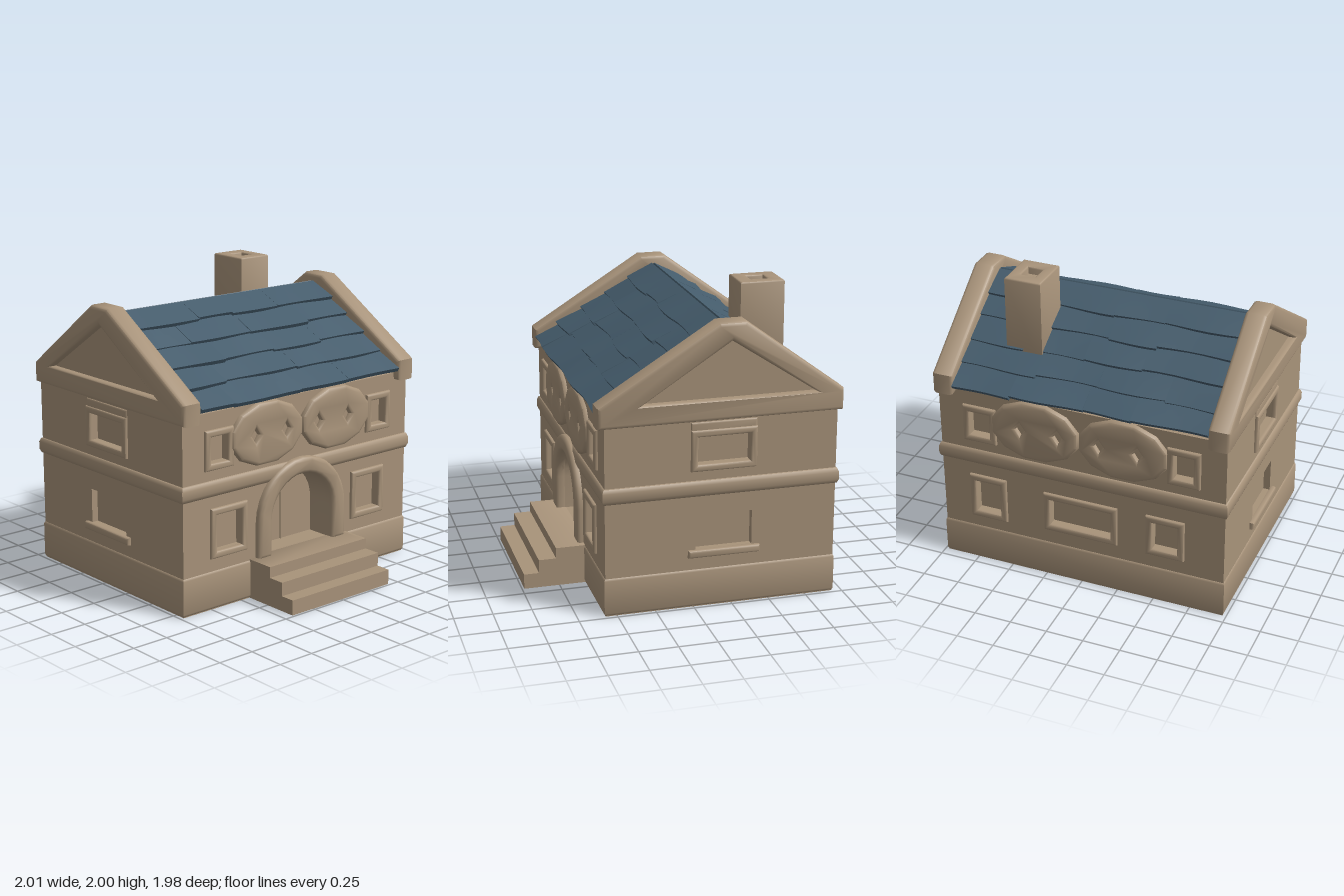
import * as THREE from 'three';
import { toCreasedNormals } from 'three/addons/utils/BufferGeometryUtils.js';

const stone = new THREE.MeshStandardMaterial({ color: 0xa8937a, side: THREE.DoubleSide });
stone.name = 'tan stone';
const slate = new THREE.MeshStandardMaterial({ color: 0x455c6c });
slate.name = 'blue slate';

const MID_Z = -0.18, HALF_X = 0.975, FRONT = 0.575, BACK = -0.935;
const RIDGE_Z = -0.235;

let seed = 7;
const rand = () => (seed = (seed * 16807) % 2147483647) / 2147483647;

function add(parent, name, geo, mat, x = 0, y = 0, z = 0) {
  const mesh = new THREE.Mesh(geo, mat);
  mesh.name = name;
  mesh.position.set(x, y, z);
  parent.add(mesh);
  return mesh;
}

// extrusion of the given total depth, its bevel kept inside the outline
function solid(shape, depth, bevel = 0) {
  const geo = new THREE.ExtrudeGeometry(shape, {
    depth: depth - 2 * bevel, curveSegments: 8, steps: 1, bevelEnabled: bevel > 0,
    bevelThickness: bevel, bevelSize: bevel, bevelOffset: -bevel, bevelSegments: 2,
  });
  geo.translate(0, 0, bevel);
  return toCreasedNormals(geo, 0.8);
}

const poly = (pts) => new THREE.Shape(pts.map(([x, y]) => new THREE.Vector2(x, y)));
const rect = (x, y, w, h) => poly([
  [x - w / 2, y - h / 2], [x + w / 2, y - h / 2], [x + w / 2, y + h / 2], [x - w / 2, y + h / 2]]);
function cut(shape, ...holes) {
  shape.holes.push(...holes);
  return shape;
}
function arch(r, bottom, spring = 0.49) {
  const s = new THREE.Shape();
  s.moveTo(-r, bottom).lineTo(r, bottom);
  s.absarc(0, spring, r, 0, Math.PI, false);
  return s;
}
// arch surround, open at the foot
function horseshoe(r, R, bottom, spring = 0.49) {
  const s = new THREE.Shape();
  s.moveTo(r, bottom).lineTo(R, bottom);
  s.absarc(0, spring, R, 0, Math.PI, false);
  s.lineTo(-R, bottom).lineTo(-r, bottom);
  s.absarc(0, spring, r, Math.PI, 0, true);
  return s;
}

// wall facing local +z, with recessed framed windows [x, y, w, h, sill?]
function makeWall(name, width, height, windows, extraHoles = []) {
  const wall = new THREE.Group();
  wall.name = name;
  const holes = windows.map(([x, y, w, h]) => rect(x, y, w, h));
  add(wall, 'wallFace', solid(cut(rect(0, height / 2, width, height), ...holes, ...extraHoles), 0.05), stone, 0, 0, -0.05);
  for (const [x, y, w, h, sill] of windows) {
    add(wall, 'windowPane', new THREE.BoxGeometry(w + 0.02, h + 0.02, 0.01), stone, x, y, -0.05);
    if (sill) {
      add(wall, 'windowSill', solid(rect(x, y - h / 2 - 0.025, w + 0.1, 0.05), 0.05, 0.014), stone, 0, 0, -0.02);
    } else {
      add(wall, 'windowFrame', solid(cut(rect(x, y, w + 0.09, h + 0.09), rect(x, y, w, h)), 0.045, 0.014), stone, 0, 0, -0.022);
    }
  }
  return wall;
}

// pair of round panels with small diamond dents
function addRosettes(wall) {
  for (const s of [-1, 1]) {
    const oval = new THREE.Shape();
    for (let i = 0; i < 12; i++) {
      const a = (i + 0.5) / 12 * Math.PI * 2;
      oval[i ? 'lineTo' : 'moveTo'](Math.cos(a) * 0.308, Math.sin(a) * 0.212);
    }
    const diamond = (x) => poly([[x - 0.03, 0], [x, -0.045], [x + 0.03, 0], [x, 0.045]]);
    cut(oval, diamond(-s * 0.16), diamond(s * 0.1));
    add(wall, 'roundPanel', solid(oval, 0.07, 0.025), stone, s * 0.3, 1.085, -0.036);
  }
}

// horizontal moulding running round the house
function addBand(house, name, y0, y1, out, bevel) {
  const w = HALF_X * 2, d = FRONT - BACK;
  const ring = cut(rect(0, 0, w + out * 2, d + out * 2), rect(0, 0, w - 0.12, d - 0.12));
  const geo = solid(ring, y1 - y0, bevel).rotateX(-Math.PI / 2);
  add(house, name, geo, stone, 0, y0, MID_Z);
}

// one roof side: overlapping courses of uneven shingles, downhill along local +z
function makeRoofSide(name, run, drop) {
  const side = new THREE.Group();
  side.name = name;
  const courses = 5, len = Math.hypot(run, drop) / courses, half = 0.855;
  for (let c = 0; c < courses; c++) {
    const phase = rand() * 6;
    const cuts = [-half, -half + 0.25 + rand() * 0.3, -0.1 + rand() * 0.2, 0.3 + rand() * 0.25, half];
    for (let k = 0; k < cuts.length - 1; k++) {
      const w = cuts[k + 1] - cuts[k], slip = (rand() - 0.5) * 0.025, lift = rand() * 0.014;
      const geo = new THREE.BoxGeometry(w, 0.03, len + 0.04, 5, 1, 2);
      const p = geo.attributes.position;
      for (let i = 0; i < p.count; i++) {
        const x = p.getX(i) + (cuts[k] + cuts[k + 1]) / 2;
        const t = p.getZ(i) / (len + 0.04) + 0.5;
        const wave = Math.sin(x * 9 + phase);
        p.setXYZ(i, x, p.getY(i) + t * (0.018 + lift) + t * wave * 0.006,
          c * len + t * (len + 0.01) - (1 - t) * (c ? 0.03 : 0) + t * (slip + wave * 0.008));
      }
      geo.computeVertexNormals();
      add(side, 'shingle', geo, slate);
    }
  }
  side.rotation.order = 'YXZ';
  side.rotation.x = Math.atan2(drop, run);
  side.position.set(0, 1.797, RIDGE_Z);
  return side;
}

export function createModel() {
  const house = new THREE.Group();
  house.name = 'house';

  // walls
  const upper = [[-0.69, 1.05, 0.14, 0.17], [0.7, 1.05, 0.13, 0.17]];
  const front = makeWall('frontWall', HALF_X * 2, 1.29,
    [...upper, [-0.61, 0.505, 0.21, 0.24], [0.61, 0.505, 0.21, 0.24]], [arch(0.27, 0.26)]);
  front.position.z = FRONT;
  const back = makeWall('backWall', HALF_X * 2, 1.29,
    [...upper, [-0.65, 0.5, 0.17, 0.23], [0, 0.5, 0.42, 0.19], [0.58, 0.5, 0.17, 0.2]]);
  back.position.z = BACK;
  back.rotation.y = Math.PI;
  addRosettes(front);
  addRosettes(back);
  house.add(front, back);
  for (const s of [-1, 1]) {
    const side = makeWall(s > 0 ? 'leftWall' : 'rightWall', FRONT - BACK, 1.28,
      [[s * 0.01, 1.05, 0.34, 0.18], [s * 0.015, 0.505, 0.37, 0.23, true]]);
    side.position.set(s * HALF_X, 0, MID_Z);
    side.rotation.y = s * Math.PI / 2;
    // lintel and frame edge around the upper window
    add(side, 'windowSurround', solid(cut(rect(s * 0.01, 1.08, 0.43, 0.31), rect(s * 0.01, 1.05, 0.36, 0.2)), 0.035, 0.012),
      stone, 0, 0, -0.025);
    house.add(side);
  }

  // mouldings
  addBand(house, 'plinth', 0, 0.26, 0.007, 0.02);
  addBand(house, 'floorBand', 0.74, 0.86, 0.018, 0.035);

  // arched doorway with a deep porch
  add(house, 'doorArch', solid(horseshoe(0.27, 0.38, 0.255), 0.09, 0.025), stone, 0, 0, 0.53);
  add(house, 'porchVault', solid(cut(arch(0.29, 0.24), arch(0.27, 0.26)), 0.17), stone, 0, 0, 0.38);
  add(house, 'door', solid(arch(0.28, 0.25), 0.02), stone, 0, 0, 0.37);
  add(house, 'doorSeam', new THREE.BoxGeometry(0.012, 0.48, 0.009), stone, 0, 0.5, 0.394);

  // front steps: thin stepped treads between two cheeks, open below
  const treads = [[0.985, 0], [0.985, 0.1], [0.885, 0.1], [0.885, 0.19], [0.77, 0.19], [0.77, 0.262], [0.55, 0.262]];
  const inner = treads.map(([z, y]) => [z - 0.02, Math.max(0, y - 0.02)]).reverse();
  const along = (pts) => poly(pts.map(([z, y]) => [-z, y]));
  const stairs = new THREE.Group();
  stairs.name = 'frontSteps';
  stairs.rotation.y = Math.PI / 2;
  stairs.position.x = -0.43;
  add(stairs, 'treads', solid(along([...treads, ...inner]), 0.855), stone);
  for (const z of [0, 0.835]) add(stairs, 'cheek', solid(along([...treads, [0.55, 0]]), 0.02), stone, 0, 0, z);
  house.add(stairs);

  // gable ends with a sunken triangle
  const gableOutline = [[-0.62, 1.24], [-0.62, 1.38], [0.15, 1.86], [0.32, 1.86], [0.97, 1.38], [0.97, 1.24]];
  const triangle = [[-0.34, 1.375], [0.79, 1.375], [0.235, 1.74]];
  for (const s of [-1, 1]) {
    const gable = new THREE.Group();
    gable.name = s > 0 ? 'leftGable' : 'rightGable';
    gable.rotation.y = Math.PI / 2;
    gable.position.x = s > 0 ? 0.855 : -1;
    add(gable, 'gableBeams', solid(cut(poly(gableOutline), poly(triangle)), 0.145, 0.025), stone);
    add(gable, 'gablePanel', solid(poly([[-0.45, 1.34], [0.88, 1.34], [0.235, 1.78]]), 0.02), stone, 0, 0, s > 0 ? 0.075 : 0.05);
    house.add(gable);
  }

  // roof deck and shingles
  const deck = add(house, 'roofDeck', solid(poly([[-0.57, 1.285], [0.235, 1.785], [0.93, 1.285],
    [0.89, 1.285], [0.235, 1.75], [-0.52, 1.285]]), 1.76), stone, -0.88);
  deck.rotation.y = Math.PI / 2;
  const frontRoof = makeRoofSide('frontRoof', 0.83, 0.495);
  const backRoof = makeRoofSide('backRoof', 0.715, 0.495);
  backRoof.rotation.y = Math.PI;
  house.add(frontRoof, backRoof);

  // chimney with a square flue
  const stack = solid(cut(rect(0, 0, 0.245, 0.29), rect(0, 0, 0.1, 0.11)), 0.62, 0.012).rotateX(-Math.PI / 2);
  add(house, 'chimney', stack, stone, 0.472, 1.38, -0.555);
  add(house, 'flueFloor', new THREE.BoxGeometry(0.12, 0.02, 0.13), stone, 0.472, 1.94, -0.555);

  return house;
}
